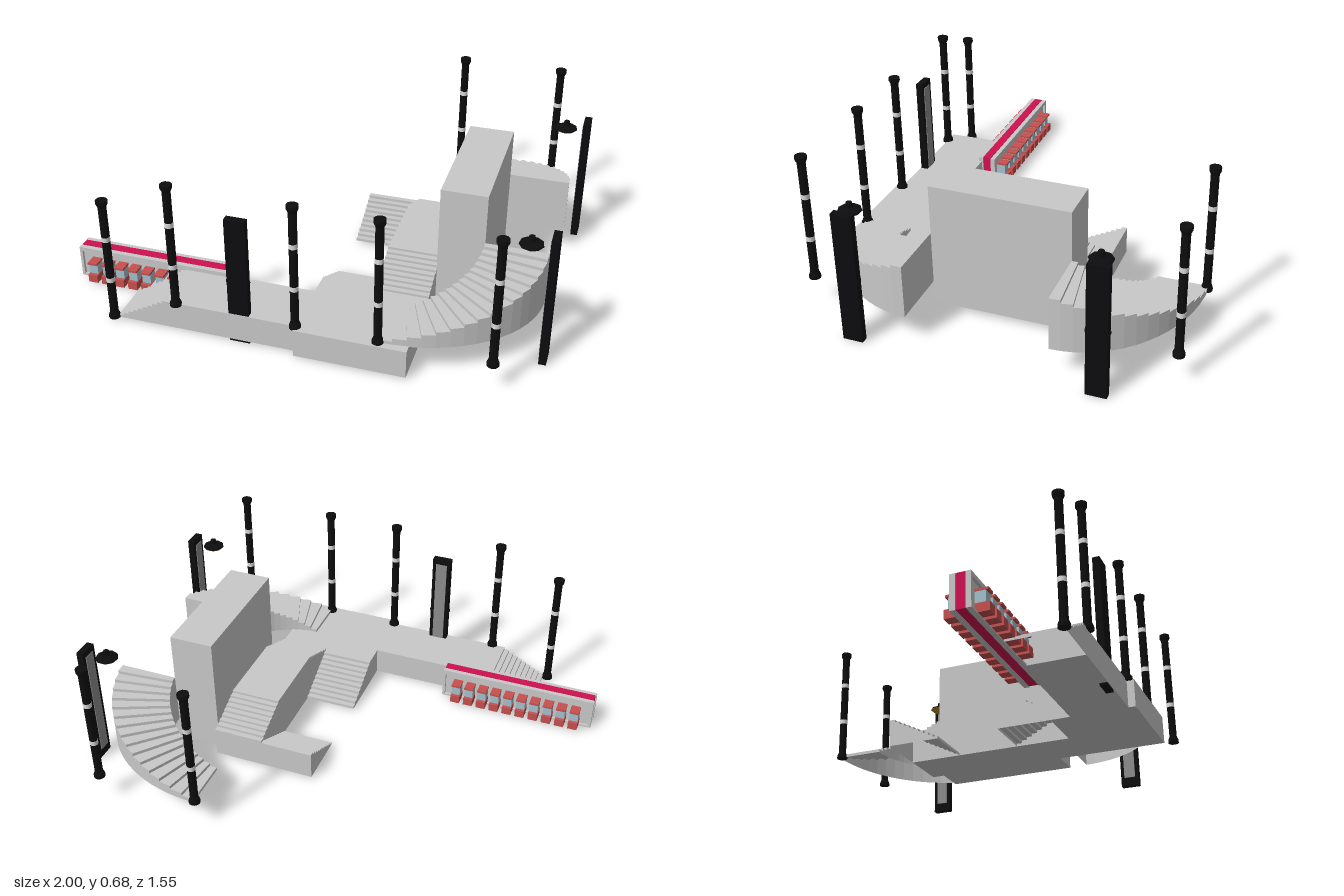
import * as THREE from 'three';

const mat = (name, color, side = THREE.FrontSide) =>
  Object.assign(new THREE.MeshStandardMaterial({ color, side }), { name });

export function createModel() {
  const model = new THREE.Group();
  model.name = 'stationPlatforms';
  const concrete = mat('concrete grey', 0xc8c8c8, THREE.DoubleSide);
  const black = mat('black metal', 0x0d0d0f);
  const screenGrey = mat('screen grey', 0x8c8c8c);
  const white = mat('white band', 0xdcdcdc);
  const gold = mat('gold lamp', 0xb5852b);
  const crimson = mat('crimson', 0xcf1150);
  const red = mat('seat red', 0xc65050);
  const blue = mat('pale blue', 0xa3c0cc);

  const add = (parent, name, geo, material, x = 0, y = 0, z = 0) => {
    const mesh = new THREE.Mesh(geo, material);
    mesh.name = name;
    mesh.position.set(x, y, z);
    parent.add(mesh);
    return mesh;
  };
  // Box given by its limits on each axis
  const block = (parent, name, material, x0, x1, y0, y1, z0, z1) =>
    add(parent, name, new THREE.BoxGeometry(x1 - x0, y1 - y0, z1 - z0), material,
      (x0 + x1) / 2, (y0 + y1) / 2, (z0 + z1) / 2);
  const group = (name, x = 0, y = 0, z = 0) => {
    const g = new THREE.Group();
    g.name = name;
    g.position.set(x, y, z);
    model.add(g);
    return g;
  };

  // Stair shell, open below: edge(t) gives the two side points [x, z] at t
  function stairs(name, n, edge, base, y0, y1) {
    const pos = [];
    const quad = (a, b, c, d) => pos.push(...a, ...b, ...c, ...a, ...c, ...d);
    const at = (p, y) => [p[0], y, p[1]];
    for (let i = 0; i < n; i++) {
      const [a, b] = edge(i / n), [c, d] = edge((i + 1) / n);
      const low = y0 + (y1 - y0) * i / n, h = y0 + (y1 - y0) * (i + 1) / n;
      quad(at(a, low), at(b, low), at(b, h), at(a, h));      // riser
      quad(at(a, h), at(b, h), at(d, h), at(c, h));          // tread
      quad(at(a, base), at(a, h), at(c, h), at(c, base));    // side walls
      quad(at(b, base), at(d, base), at(d, h), at(b, h));
    }
    const [e, f] = edge(1);
    quad(at(e, base), at(e, y1), at(f, y1), at(f, base));    // end wall
    const geo = new THREE.BufferGeometry();
    geo.setAttribute('position', new THREE.Float32BufferAttribute(pos, 3));
    geo.computeVertexNormals();
    return add(model, name, geo, concrete);
  }
  const alongZ = (xa, xb, z0, z1) => t => {
    const z = z0 + (z1 - z0) * t;
    return z1 < z0 ? [[xa, z], [xb, z]] : [[xb, z], [xa, z]];
  };

  // Platforms and tall block
  block(model, 'sidePlatform', concrete, -0.49, 0.05, 0.01, 0.13, 0.495, 0.74);
  block(model, 'cornerPlatform', concrete, 0.05, 0.5, 0.01, 0.13, 0.41, 0.77);
  block(model, 'walkwayBase', concrete, 0.28, 0.5, 0.01, 0.13, -0.33, 0.41);
  block(model, 'upperLanding', concrete, 0.28, 0.5, 0.13, 0.22, -0.12, 0.2);
  block(model, 'tallBlock', concrete, 0.5, 0.69, 0.03, 0.56, -0.3, 0.28);

  // Straight stairs
  stairs('sideStairs', 10, t => [[-0.71 + 0.22 * t, 0.74], [-0.71 + 0.22 * t, 0.495]], 0.01, 0.01, 0.13);
  stairs('frontUpperStairs', 9, alongZ(0.28, 0.5, 0.41, 0.2), 0.13, 0.13, 0.22);
  stairs('backUpperStairs', 9, alongZ(0.28, 0.5, -0.33, -0.12), 0.13, 0.13, 0.22);
  stairs('frontLowerStairs', 10, alongZ(0.05, 0.28, 0.175, 0.41), 0.01, 0.01, 0.13);
  stairs('backLowerStairs', 10, alongZ(0.05, 0.28, -0.1, -0.33), 0.01, 0.01, 0.13);

  // Curved stairs sweep a quarter ellipse up to the tall block
  for (const [name, s, cz] of [['frontCurvedStairs', 1, 0.28], ['backCurvedStairs', -1, -0.3]]) {
    stairs(name, 16, t => {
      const a = t * Math.PI / 2;
      const pts = [[0.565, 0.462], [0.31, 0.255]].map(([rx, rz]) =>
        [0.38 + rx * Math.sin(a), cz + s * rz * Math.cos(a)]);
      return s > 0 ? pts : pts.reverse();
    }, 0.127, 0.13, 0.35);
  }

  // Banded poles
  const poleProfile = [[0, 0], [0.024, 0], [0.024, 0.012], [0.017, 0.03], [0.017, 0.52],
    [0.024, 0.535], [0.024, 0.55], [0, 0.55]].map(p => new THREE.Vector2(...p));
  const poleGeo = new THREE.LatheGeometry(poleProfile, 12).toNonIndexed();
  poleGeo.computeVertexNormals();
  const bandGeo = new THREE.CylinderGeometry(0.0178, 0.0178, 0.021, 12);
  for (const [x, y, z] of [[-0.73, 0.008, 0.74], [-0.45, 0.125, 0.74], [0.05, 0.125, 0.74],
    [0.38, 0.125, 0.74], [0.82, 0.125, 0.74], [0.38, 0.125, -0.755], [0.82, 0.125, -0.755]]) {
    const pole = group('pole', x, y, z);
    add(pole, 'poleShaft', poleGeo, black);
    for (const h of [0.185, 0.375]) add(pole, 'poleBand', bandGeo, white, 0, h, 0);
  }

  // Upright boards with a pale screen on the inner face
  for (const [x, z, turn] of [[-0.185, 0.722, 0], [0.98, 0.485, Math.PI / 2], [0.98, -0.498, Math.PI / 2]]) {
    const board = group('board', x, 0, z);
    board.rotation.y = turn;
    block(board, 'boardBody', black, -0.042, 0.042, 0, 0.56, -0.015, 0.015);
    block(board, 'boardScreen', screenGrey, -0.026, 0.026, 0.04, 0.535, -0.018, -0.014);
    block(board, 'boardClip', black, -0.046, 0.046, 0.274, 0.286, -0.01, 0.01);
  }

  // Hanging lamps: dark hood over a gold bowl
  const v = pts => pts.map(p => new THREE.Vector2(...p));
  const hoodGeo = new THREE.LatheGeometry(v([[0.048, 0.522], [0.046, 0.528], [0.014, 0.538],
    [0.012, 0.558], [0, 0.56]]), 9).toNonIndexed();
  const bowlGeo = new THREE.LatheGeometry(v([[0, 0.503], [0.02, 0.505], [0.036, 0.513], [0.048, 0.522]]), 9).toNonIndexed();
  hoodGeo.computeVertexNormals();
  bowlGeo.computeVertexNormals();
  for (const z of [0.505, -0.478]) {
    const lamp = group('lamp', 0.893, 0, z);
    add(lamp, 'lampHood', hoodGeo, black);
    add(lamp, 'lampBowl', bowlGeo, gold);
  }

  // Seat wall: crimson core, framed panel on both faces, row of booth seats
  const wall = group('seatWall', 0, 0, 0.47);
  block(wall, 'wallCore', crimson, -0.996, -0.304, 0.012, 0.152, -0.019, 0.019);
  for (const [s, count] of [[1, 7], [-1, 10]]) {
    const side = new THREE.Group();
    side.name = s > 0 ? 'frontSeatSide' : 'backSeatSide';
    side.rotation.y = s > 0 ? 0 : Math.PI;
    side.position.x = -0.65;
    wall.add(side);
    block(side, 'wallPanel', concrete, -0.345, 0.345, 0.012, 0.145, 0.019, 0.028);
    block(side, 'frameTop', concrete, -0.35, 0.35, 0.132, 0.15, 0.019, 0.04);
    block(side, 'frameBottom', concrete, -0.35, 0.35, 0.01, 0.018, 0.019, 0.04);
    for (const e of [-1, 1])
      block(side, 'frameEnd', concrete, e * 0.344 - 0.006, e * 0.344 + 0.006, 0.018, 0.132, 0.019, 0.04);
    for (let i = 0; i < count; i++) {
      const x = s * (-0.925 + 0.0613 * i + 0.65);
      block(side, 'seatBase', red, x - 0.021, x + 0.021, 0.014, 0.05, 0.028, 0.085);
      block(side, 'seatGlass', blue, x - 0.019, x + 0.019, 0.05, 0.096, 0.028, 0.07);
      block(side, 'seatHood', red, x - 0.021, x + 0.021, 0.096, 0.105, 0.028, 0.08);
    }
  }
  return model;
}
